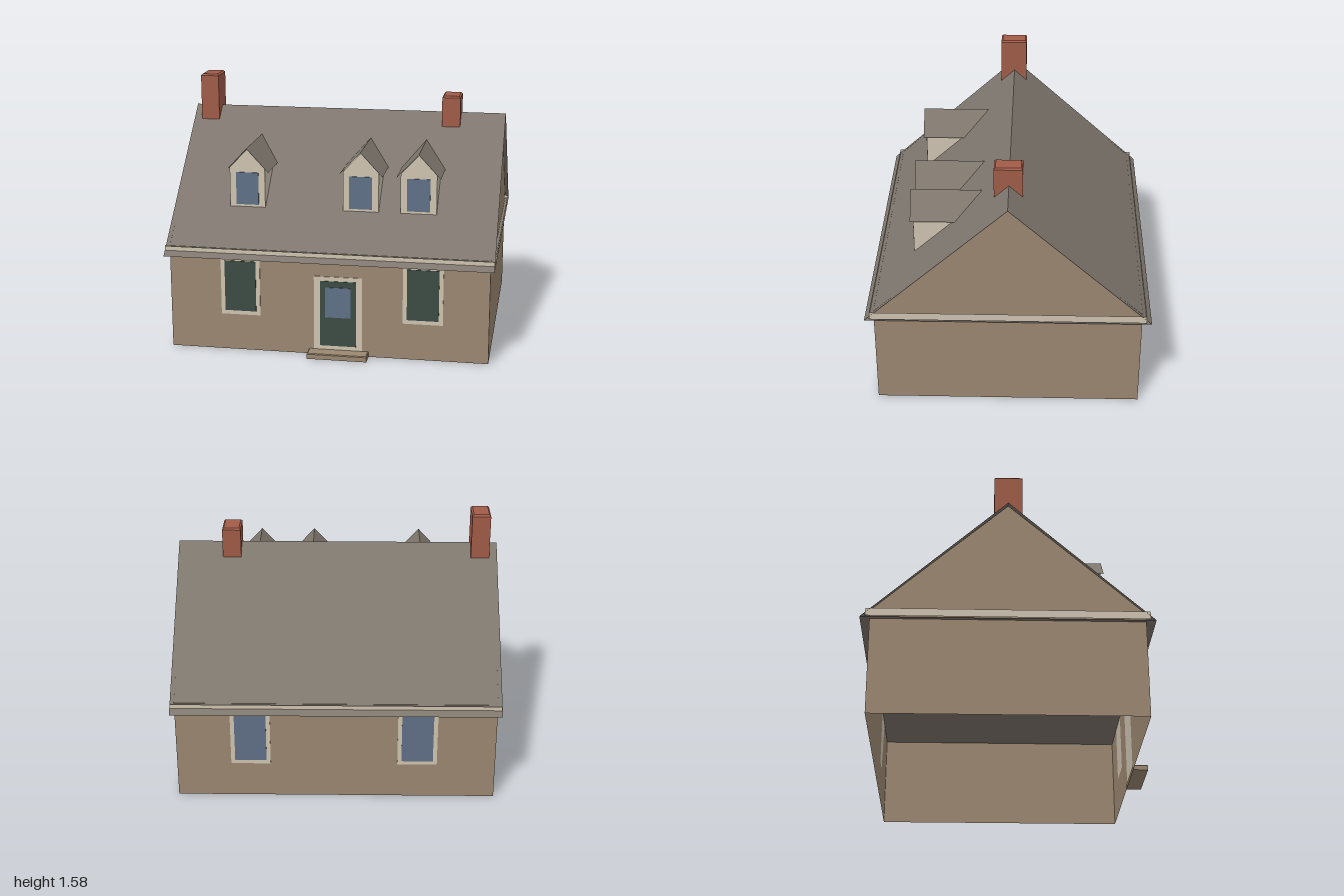
import * as THREE from 'three';

const mat = (name, color, side = THREE.FrontSide) => {
  const m = new THREE.MeshStandardMaterial({ color, side });
  m.name = name;
  return m;
};

// flat polygons, each a convex list of corners wound outwards
function facets(polys) {
  const pos = [];
  for (const p of polys)
    for (let i = 1; i < p.length - 1; i++) pos.push(...p[0], ...p[i], ...p[i + 1]);
  const g = new THREE.BufferGeometry();
  g.setAttribute('position', new THREE.Float32BufferAttribute(pos, 3));
  g.computeVertexNormals();
  return g;
}

export function createModel() {
  const house = new THREE.Group();
  house.name = 'house';
  const wall = mat('tan wall', 0x9a8770, THREE.DoubleSide);
  const roof = mat('grey shingle', 0x7f776e, THREE.DoubleSide);
  const trim = mat('cream trim', 0xcfc4b1, THREE.DoubleSide);
  const brick = mat('red brick', 0xa05c48);
  const glass = mat('blue glass', 0x607088);
  const dark = mat('dark green', 0x3d4b43);

  const add = (name, geo, material, parent = house) => {
    const m = new THREE.Mesh(geo, material);
    m.name = name;
    parent.add(m);
    return m;
  };
  const group = (name) => {
    const g = new THREE.Group();
    g.name = name;
    house.add(g);
    return g;
  };
  // box given by its limits
  const box = (name, x0, x1, y0, y1, z0, z1, material, parent) => {
    const m = add(name, new THREE.BoxGeometry(x1 - x0, y1 - y0, z1 - z0), material, parent);
    m.position.set((x0 + x1) / 2, (y0 + y1) / 2, (z0 + z1) / 2);
    return m;
  };
  // box with a small chamfer round its top
  const chamferBox = (name, x0, x1, y0, y1, z0, z1, c, material) => {
    const ring = (i, y) => [[x0 + i, y, z1 - i], [x1 - i, y, z1 - i], [x1 - i, y, z0 + i], [x0 + i, y, z0 + i]];
    const rings = [ring(0, y0), ring(0, y1 - c), ring(c, y1)];
    const polys = [rings[2], [...rings[0]].reverse()];
    for (let r = 0; r < 2; r++)
      for (let i = 0; i < 4; i++) {
        const j = (i + 1) % 4;
        polys.push([rings[r][i], rings[r][j], rings[r + 1][j], rings[r + 1][i]]);
      }
    return add(name, facets(polys), material);
  };

  const ZC = -0.018;               // ridge line
  const RIDGE = 1.37, EAVE = 0.592, RUN = 0.857;
  const slope = (RIDGE - EAVE) / RUN;
  const roofZ = (y) => ZC + (RIDGE - y) / slope;   // front slope depth at a height

  // walls and gable ends, open underneath
  const W = 0.975, D = 0.801, T = 0.645;
  const zf = ZC + D, zb = ZC - D;
  add('walls', facets([
    [[-W, 0, zf], [W, 0, zf], [W, T, zf], [-W, T, zf]],
    [[W, 0, zb], [-W, 0, zb], [-W, T, zb], [W, T, zb]],
    [[W, 0, zf], [W, 0, zb], [W, T, zb], [W, 1.362, ZC], [W, T, zf]],
    [[-W, 0, zb], [-W, 0, zf], [-W, T, zf], [-W, 1.362, ZC], [-W, T, zb]],
  ]), wall);

  // main roof: two slopes and a flat soffit
  const ef = ZC + RUN, eb = ZC - RUN;
  add('mainRoof', facets([
    [[-1, EAVE, ef], [1, EAVE, ef], [1, RIDGE, ZC], [-1, RIDGE, ZC]],
    [[1, EAVE, eb], [-1, EAVE, eb], [-1, RIDGE, ZC], [1, RIDGE, ZC]],
    [[-1, EAVE, eb], [1, EAVE, eb], [1, EAVE, ef], [-1, EAVE, ef]],
  ]), roof);

  // cream band around the eaves
  const B = 0.998, bf = ZC + 0.825, bb = ZC - 0.825, b0 = 0.6, b1 = 0.648;
  const corners = [[-B, bf], [B, bf], [B, bb], [-B, bb]];
  add('eaveBand', facets(corners.map(([x, z], i) => {
    const [x2, z2] = corners[(i + 1) % 4];
    return [[x, b0, z], [x2, b0, z2], [x2, b1, z2], [x, b1, z]];
  })), trim);

  // chimneys
  chamferBox('rightChimney', -0.95, -0.835, 1.2, 1.583, -0.1, 0.07, 0.01, brick);
  chamferBox('leftChimney', 0.605, 0.72, 1.2, 1.485, -0.1, 0.07, 0.01, brick);

  // dormers
  const H = 0.11, R = 0.135, RY = 1.22, RE = 1.073, front = 0.56;
  for (const x of [-0.537, 0.166, 0.519]) {
    const d = group('dormer');
    d.position.x = x;
    const shape = new THREE.Shape([[-H, 0.85], [H, 0.85], [H, 1.094], [0, 1.212], [-H, 1.094]]
      .map(([a, b]) => new THREE.Vector2(a, b)));
    const body = add('dormerBody',
      new THREE.ExtrudeGeometry(shape, { depth: front - 0.2, bevelEnabled: false }), trim, d);
    body.position.z = 0.2;
    const rf = 0.578;
    add('dormerRoof', facets([
      [[0, RY, rf], [R, RE, rf], [R, RE, roofZ(RE)], [0, RY, roofZ(RY)]],
      [[-R, RE, rf], [0, RY, rf], [0, RY, roofZ(RY)], [-R, RE, roofZ(RE)]],
    ]), roof, d);
    box('dormerWindow', -0.07, 0.07, 0.865, 1.067, front, front + 0.005, glass, d);
  }

  // wall windows: a frame plate with a pane plate on it
  const addWindow = (name, x, z, dir, pane) => {
    const g = group(name);
    g.position.set(x, 0, z);
    if (dir < 0) g.rotation.y = Math.PI;
    box('windowFrame', -0.121, 0.121, 0.228, 0.592, 0, 0.005, trim, g);
    box('windowPane', -0.096, 0.096, 0.253, 0.57, 0.004, 0.009, pane, g);
  };
  for (const x of [-0.537, 0.578]) addWindow('frontWindow', x, zf, 1, dark);
  for (const x of [0.521, -0.497]) addWindow('backWindow', x, zb, -1, glass);

  // front door and step
  const door = group('frontDoor');
  box('doorFrame', -0.083, 0.211, 0.02, 0.498, zf, zf + 0.005, trim, door);
  box('doorPanel', -0.045, 0.174, 0.06, 0.471, zf + 0.004, zf + 0.009, dark, door);
  box('doorGlass', -0.014, 0.142, 0.243, 0.433, zf + 0.008, zf + 0.013, glass, door);
  chamferBox('doorStep', -0.115, 0.251, 0, 0.034, zf - 0.002, 0.875, 0.005, wall);

  return house;
}
